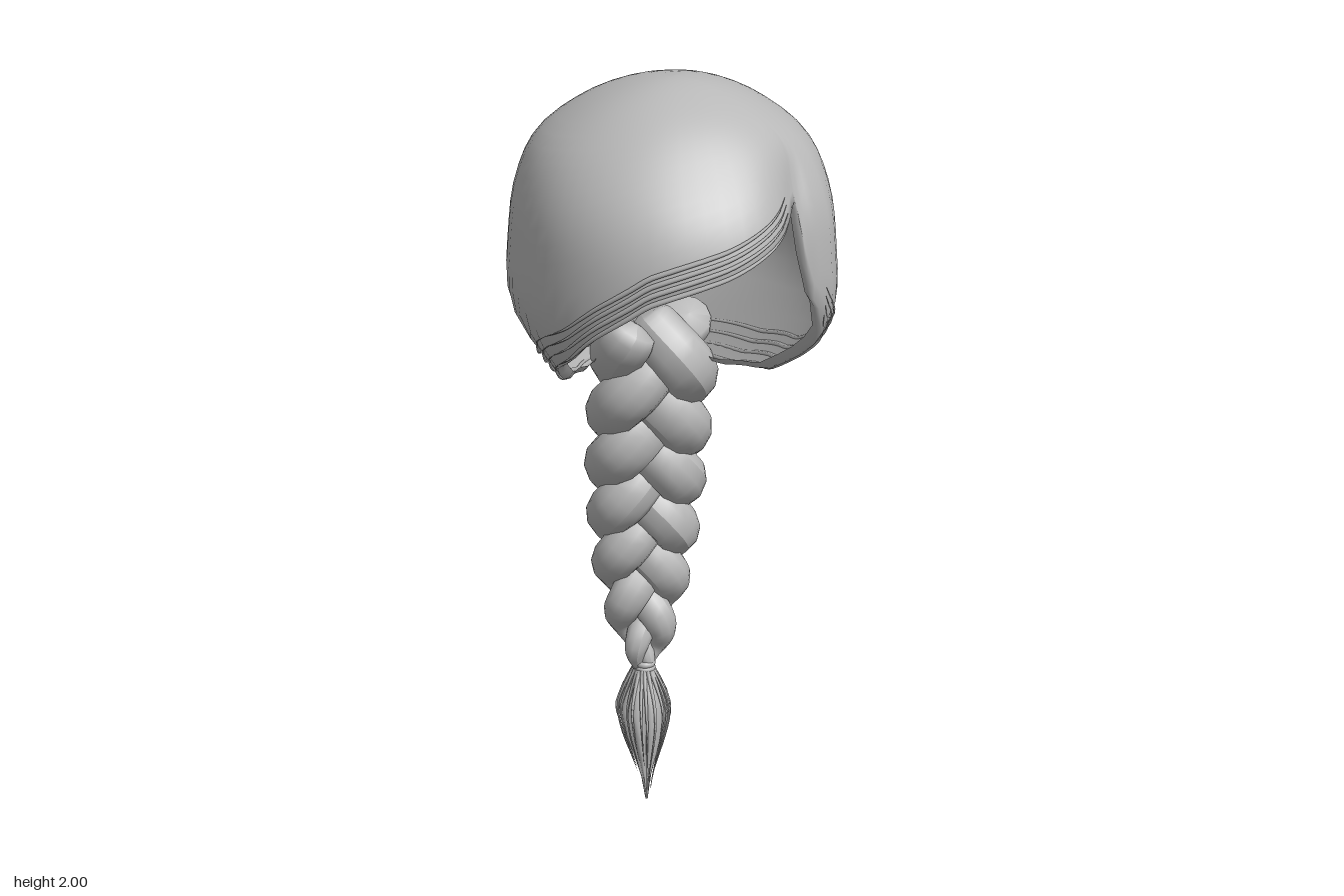
import * as THREE from 'three';

const hair = new THREE.MeshStandardMaterial({ color: 0xb8b8b8, side: THREE.DoubleSide });
hair.name = 'grey hair';
const rad = THREE.MathUtils.degToRad;

// Look up column c of a table keyed by column 0; smooth uses Hermite slopes
function lookup(table, k, c, smooth = false) {
  const n = table.length;
  if (k <= table[0][0]) return table[0][c];
  if (k >= table[n - 1][0]) return table[n - 1][c];
  let i = 0;
  while (k > table[i + 1][0]) i++;
  const [p, q] = [table[i], table[i + 1]];
  const h = q[0] - p[0], t = (k - p[0]) / h;
  if (!smooth) return p[c] + (q[c] - p[c]) * t;
  const slope = j => {
    const a = table[Math.max(j - 1, 0)], b = table[Math.min(j + 1, n - 1)];
    return (b[c] - a[c]) / (b[0] - a[0]);
  };
  const t2 = t * t, t3 = t2 * t;
  return (2 * t3 - 3 * t2 + 1) * p[c] + (t3 - 2 * t2 + t) * h * slope(i)
    + (3 * t2 - 2 * t3) * q[c] + (t3 - t2) * h * slope(i + 1);
}

// Cap sections: y, half width, front z, back z (re-keyed by s = sqrt(2 - y))
const sections = [
  [2.0, 0, 0.14, 0.14], [1.98, 0.11, 0.235, 0.01], [1.93, 0.21, 0.33, -0.11],
  [1.86, 0.292, 0.405, -0.205], [1.76, 0.335, 0.48, -0.29], [1.65, 0.35, 0.51, -0.333],
  [1.5, 0.352, 0.5, -0.335], [1.4, 0.3, 0.46, -0.325], [1.3, 0.225, 0.38, -0.325],
  [1.2, 0.13, 0.28, -0.335],
].map(([y, ...r]) => [Math.sqrt(2 - y), ...r]);

// Hairline: angle from the front towards +x, rim height
const hairline = [
  [-180, 1.21], [-140, 1.235], [-110, 1.255], [-80, 1.32], [-65, 1.4], [-50, 1.45], [-35, 1.53],
  [-17, 1.61], [8, 1.665], [29, 1.72], [46, 1.77], [49, 1.64], [52, 1.55],
  [60, 1.46], [71, 1.385], [85, 1.3], [110, 1.25], [140, 1.23], [180, 1.21],
];
const rimS = a => Math.sqrt(2 - lookup(hairline, a, 1));

function capPoint(a, s, grow = 0) {
  const w = lookup(sections, s, 1, true), f = lookup(sections, s, 2, true), b = lookup(sections, s, 3, true);
  const square = v => Math.sign(v) * Math.abs(v) ** 0.92;
  // crease running back from the parting
  const depth = THREE.MathUtils.smoothstep(s, 0.28, 0.48);
  const crease = 1 - 0.12 * depth * Math.exp(-(((a - 47) / (a < 47 ? 17 : 8)) ** 2));
  const sx = square(Math.sin(rad(a))), cz = square(Math.cos(rad(a)));
  return new THREE.Vector3(
    (w * crease + grow) * sx, 2 - s * s, (f + b) / 2 + ((f - b) / 2 * crease + grow) * cz);
}

function makeCap() {
  const angles = [44, 46, 47, 49, 50, 51, 52];
  for (let a = -180; a < 180; a += 6) if (a !== 48) angles.push(a);
  const cols = [...new Set(angles)].sort((p, q) => p - q);
  const rows = 22, n = cols.length, pos = [], idx = [];
  for (let i = 0; i <= rows + 2; i++) {
    for (const a of cols) {
      const s = rimS(a) * Math.min(i / rows, 1);
      const lip = Math.max(i - rows, 0);   // last two rows fold inwards
      const p = capPoint(a, s, -0.011 * lip);
      pos.push(p.x, p.y + [0, 0.002, 0.016][lip], p.z);
    }
  }
  for (let i = 0; i < rows + 2; i++) {
    for (let j = 0; j < n; j++) {
      const k = (j + 1) % n, a = i * n + j, b = a + n, c = i * n + k, d = c + n;
      if (i > 0) idx.push(a, b, c);
      idx.push(b, d, c);
    }
  }
  const g = new THREE.BufferGeometry();
  g.setAttribute('position', new THREE.Float32BufferAttribute(pos, 3));
  g.setIndex(idx);
  g.computeVertexNormals();
  return g;
}

// Tube whose radius follows size(u), optionally flattened in z
function taperedTube(curve, segments, sides, size, flat = 1) {
  const g = new THREE.TubeGeometry(curve, segments, 1, sides);
  const p = g.attributes.position, v = new THREE.Vector3();
  for (let i = 0; i <= segments; i++) {
    const c = curve.getPointAt(i / segments), r = size(i / segments, c);
    for (let j = 0; j <= sides; j++) {
      const k = i * (sides + 1) + j;
      v.fromBufferAttribute(p, k).sub(c).multiplyScalar(r);
      p.setXYZ(k, c.x + v.x, c.y + v.y, c.z + v.z * flat);
    }
  }
  g.computeVertexNormals();
  return g;
}

// Braid spine: minus y, centre z, thickness scale
const spine = [
  [-1.35, -0.212, 0.95], [-1.24, -0.232, 1], [-1.15, -0.272, 1], [-1.05, -0.31, 1], [-0.9, -0.358, 0.98],
  [-0.75, -0.388, 0.92], [-0.62, -0.41, 0.82], [-0.5, -0.402, 0.64], [-0.42, -0.385, 0.44], [-0.36, -0.375, 0.2],
];

function braidStrand(k) {
  const pts = [];
  for (let i = 0; i <= 60; i++) {
    const u = i / 60, y = 1.345 - 0.985 * u, m = lookup(spine, -y, 2);
    const t = 2 * Math.PI * (2.15 * u ** 1.1 + k / 3) - 0.38;
    pts.push(new THREE.Vector3(
      0.02 + 0.086 * m * Math.sin(t), y, lookup(spine, -y, 1) + 0.049 * m * Math.sin(2 * t)));
  }
  const size = (u, c) => u === 0 ? 0 : 0.069 * lookup(spine, -c.y, 2) * Math.min(1, 0.75 + u * 10);
  return taperedTube(new THREE.CatmullRomCurve3(pts), 96, 12, size, 0.88);
}

// Tail tuft: height, radius
const tuft = [[0, 0.003], [0.06, 0.012], [0.12, 0.03], [0.18, 0.05], [0.25, 0.063], [0.3, 0.048], [0.36, 0.02]];
const tuftZ = y => -0.33 - 0.046 * Math.min(1, y / 0.28);

function makeTuft() {
  const g = new THREE.LatheGeometry(tuft.map(([y, r]) => new THREE.Vector2(r, y)), 36);
  const p = g.attributes.position;
  for (let i = 0; i < p.count; i++) {
    const a = Math.atan2(p.getZ(i), p.getX(i)), ridge = 0.92 + 0.12 * Math.cos(a * 9);
    p.setXYZ(i, p.getX(i) * ridge + 0.015, p.getY(i), p.getZ(i) * ridge + tuftZ(p.getY(i)));
  }
  g.computeVertexNormals();
  return g;
}

export function createModel() {
  const model = new THREE.Group();
  const add = (name, geometry, parent = model) => {
    const m = new THREE.Mesh(geometry, hair);
    m.name = name;
    parent.add(m);
    return m;
  };
  const group = name => {
    const g = new THREE.Group();
    g.name = name;
    model.add(g);
    return g;
  };

  add('hairCap', makeCap());

  // Fine locks combed along the hairline: start angle, end angle
  const locks = group('hairlineLocks');
  for (const [from, to] of [[-176, -60], [-60, 36], [56, 176]]) {
    for (let k = 0; k < 4; k++) {
      const pts = [];
      for (let i = 0; i <= 16; i++) {
        const a = from + (to - from) * i / 16;
        pts.push(capPoint(a, rimS(a) - 0.004 - k * 0.016, 0.002));
      }
      add('hairlineLock', taperedTube(new THREE.CatmullRomCurve3(pts), 40, 5,
        u => 0.006 * Math.sin(Math.PI * (0.03 + 0.94 * u))), locks);
    }
  }

  // Three plaited strands
  const braid = group('braid');
  for (let k = 0; k < 3; k++) add('braidStrand', braidStrand(k), braid);

  // Band closing the braid
  for (const y of [0.355, 0.368]) {
    const band = add('braidBand', new THREE.TorusGeometry(0.019, 0.008, 8, 20));
    band.rotation.x = Math.PI / 2;
    band.position.set(0.02, y, -0.375);
  }

  // Loose tail with wisps
  add('tailTuft', makeTuft());
  const wisps = group('tailWisps');
  for (let k = 0; k < 22; k++) {
    const a = k * 2.4, end = 0.02 + 0.1 * ((k * 7) % 11) / 11, pts = [];
    for (let i = 0; i <= 8; i++) {
      const y = 0.355 + (end - 0.355) * i / 8, r = lookup(tuft, y, 1) * 1.08 + 0.004 * (i / 8);
      pts.push(new THREE.Vector3(0.015 + r * Math.cos(a), y, tuftZ(y) + r * Math.sin(a)));
    }
    add('tailWisp', taperedTube(new THREE.CatmullRomCurve3(pts), 14, 4, u => 0.005 * (1.05 - u)), wisps);
  }
  return model;
}
